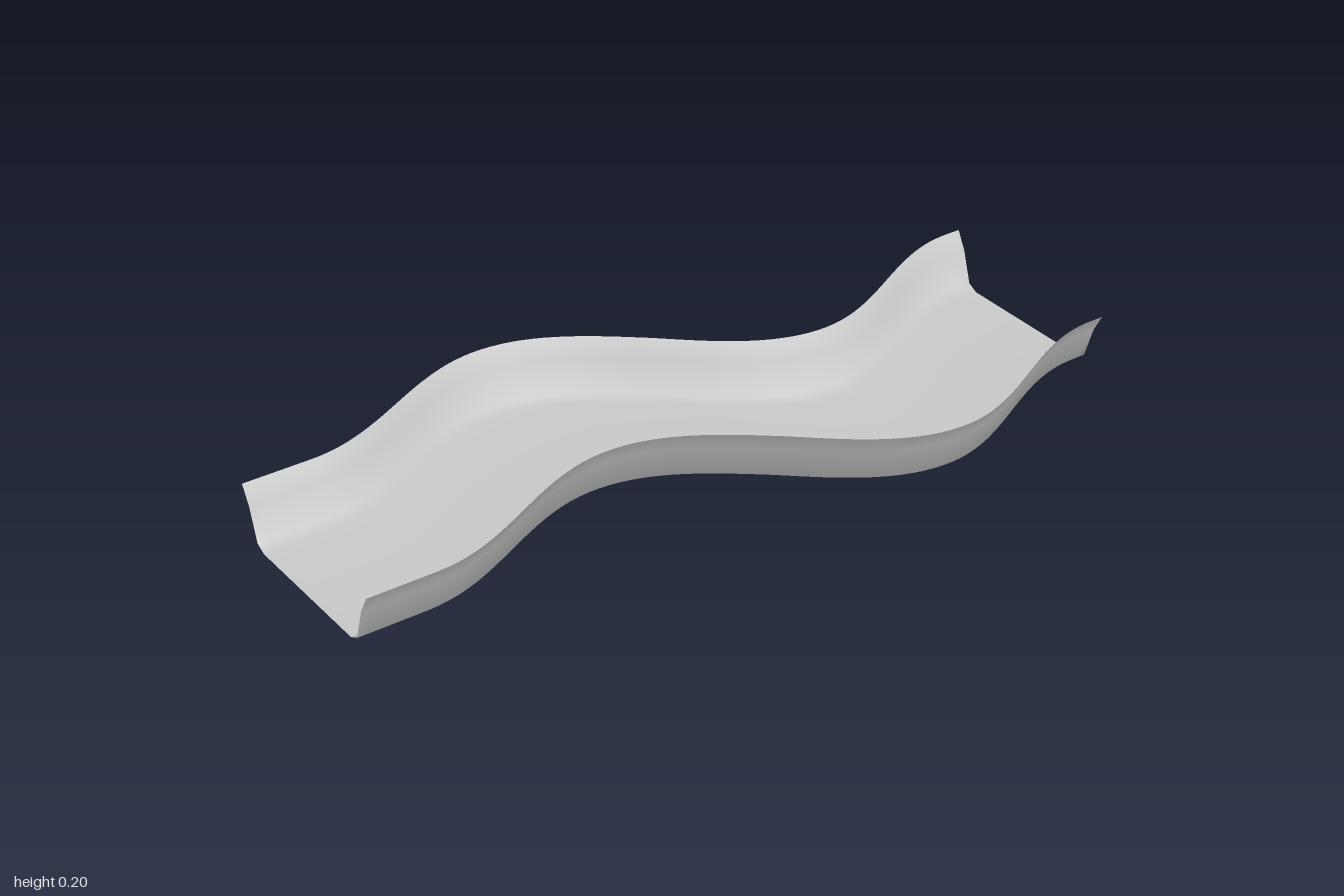
import * as THREE from 'three';

// Right half of the channel section, from floor edge to rim
const half = [[0.187, 0.037], [0.214, 0.05], [0.24, 0.132], [0.265, 0.178]];
const section = [...half.map(([x, y]) => [-x, y]).reverse(), ...half];

// Sideways sway of the channel along its length: [z, x]
const sway = [[-1, 0], [-0.96, 0], [-0.47, 0.146], [0.31, -0.147], [0.83, 0], [1, 0]];

// Ease between the sway keys with half cosine waves
function swayAt(z) {
  let i = 0;
  while (i < sway.length - 2 && z > sway[i + 1][0]) i++;
  const [z0, x0] = sway[i], [z1, x1] = sway[i + 1];
  const t = (1 - Math.cos(Math.PI * (z - z0) / (z1 - z0))) / 2;
  return x0 + (x1 - x0) * t;
}

// Sweep the section along z, moving it sideways and up or down
function channelGeometry(steps) {
  const positions = [], index = [], n = section.length;
  for (let j = 0; j <= steps; j++) {
    const z = -1 + 2 * j / steps;
    const dx = swayAt(z);
    const dy = dx * (dx > 0 ? -0.235 : -0.19);
    for (const [x, y] of section) positions.push(x + dx, y + dy, z);
  }
  for (let j = 0; j < steps; j++) {
    for (let i = 0; i < n - 1; i++) {
      const a = j * n + i, b = a + 1, c = a + n, d = c + 1;
      index.push(a, c, b, b, c, d);
    }
  }
  const geometry = new THREE.BufferGeometry();
  geometry.setAttribute('position', new THREE.Float32BufferAttribute(positions, 3));
  geometry.setIndex(index);
  geometry.computeVertexNormals();
  return geometry;
}

export function createModel() {
  const group = new THREE.Group();
  group.name = 'windingChannel';
  const material = new THREE.MeshStandardMaterial({ color: 0xcccccc, side: THREE.DoubleSide });
  // Open trough: floor and both flared walls in one sheet
  const trough = new THREE.Mesh(channelGeometry(80), material);
  trough.name = 'trough';
  group.add(trough);
  return group;
}
